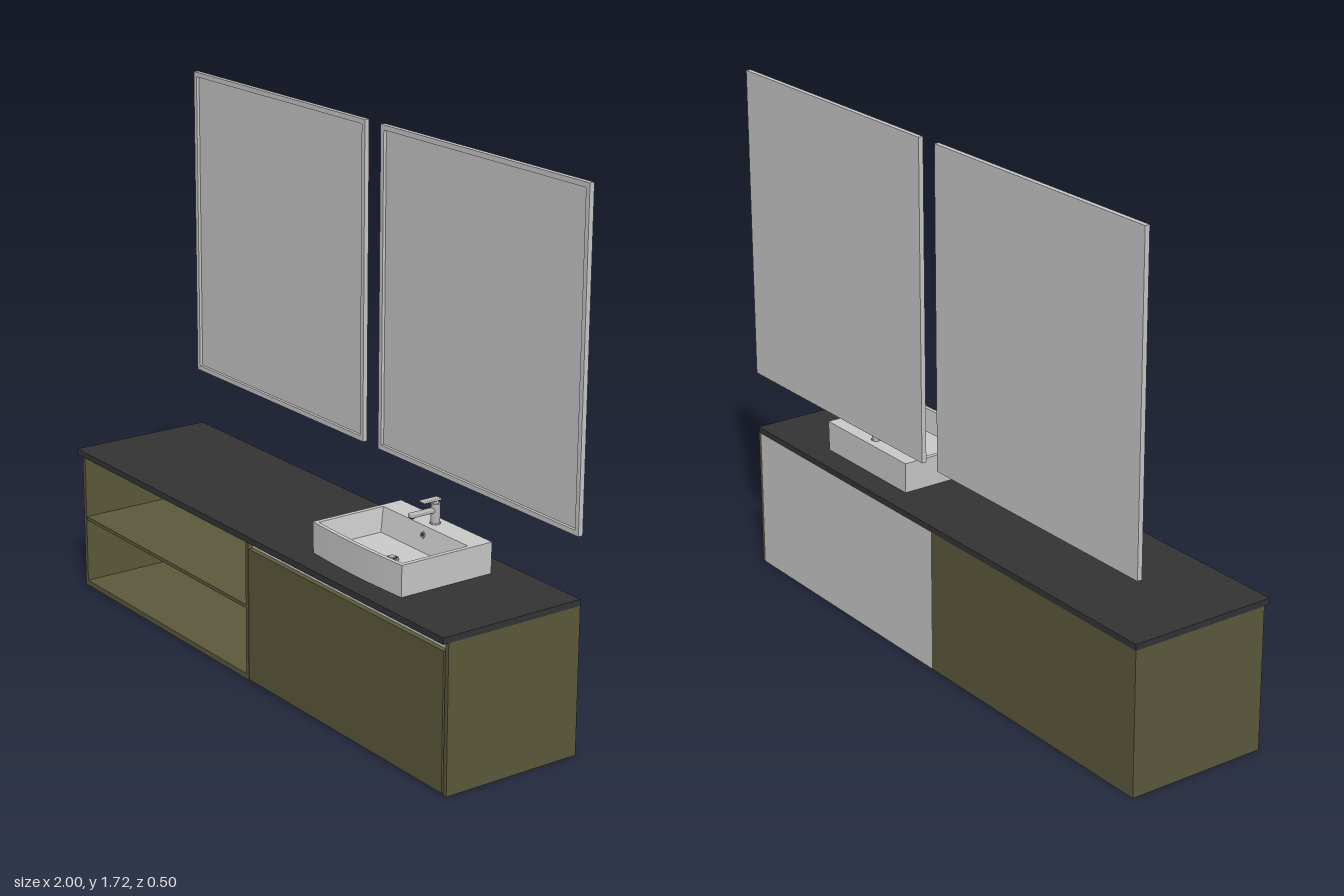
import * as THREE from 'three';
import { RoundedBoxGeometry } from 'three/addons/geometries/RoundedBoxGeometry.js';

const mat = (name, color, side = THREE.FrontSide) => {
  const m = new THREE.MeshStandardMaterial({ color, side });
  m.name = name;
  return m;
};

export function createModel() {
  const olive = mat('olive lacquer', 0x5c593c);
  const stone = mat('dark stone', 0x343434);
  const pale = mat('pale grey', 0xc8c8c8);
  const ceramic = mat('ceramic', 0xcacaca, THREE.DoubleSide);
  const chrome = mat('chrome', 0xb8b8b8);
  const dark = mat('dark opening', 0x404040);

  const root = new THREE.Group();
  root.name = 'vanityUnit';
  const group = (name) => {
    const g = new THREE.Group();
    g.name = name;
    root.add(g);
    return g;
  };
  const add = (parent, name, geometry, material, x = 0, y = 0, z = 0) => {
    const m = new THREE.Mesh(geometry, material);
    m.name = name;
    m.position.set(x, y, z);
    parent.add(m);
    return m;
  };
  // Box given by its limits on each axis
  const box = (parent, name, material, [x0, x1], [y0, y1], [z0, z1]) =>
    add(parent, name, new THREE.BoxGeometry(x1 - x0, y1 - y0, z1 - z0), material,
      (x0 + x1) / 2, (y0 + y1) / 2, (z0 + z1) / 2);

  // Countertop
  box(root, 'countertop', stone, [-1, 1], [0.472, 0.492], [-0.25, 0.25]);

  // Open shelf unit
  const shelves = group('openShelfUnit');
  box(shelves, 'outerSide', olive, [-1, -0.985], [0, 0.472], [-0.25, 0.23]);
  box(shelves, 'innerSide', olive, [-0.017, -0.003], [0, 0.472], [-0.25, 0.23]);
  box(shelves, 'shelfBack', olive, [-0.985, -0.017], [0, 0.472], [-0.25, -0.238]);
  box(shelves, 'bottomPanel', olive, [-0.985, -0.017], [0, 0.018], [-0.238, 0.23]);
  box(shelves, 'middleShelf', olive, [-0.985, -0.017], [0.237, 0.249], [-0.238, 0.228]);

  // Drawer unit: pale carcass, olive front and end panel
  const drawer = group('drawerUnit');
  box(drawer, 'carcass', pale, [-0.003, 0.985], [0, 0.472], [-0.25, 0.212]);
  box(drawer, 'drawerFront', olive, [0, 0.977], [0.003, 0.44], [0.213, 0.23]);
  box(drawer, 'endPanel', olive, [0.985, 1], [0, 0.472], [-0.25, 0.23]);

  // Two framed mirrors
  const w = 0.96, h = 1.033, t = 0.016;
  const rect = (Type, a, b) => new Type([
    new THREE.Vector2(-a, -b), new THREE.Vector2(a, -b),
    new THREE.Vector2(a, b), new THREE.Vector2(-a, b)]);
  const frameShape = rect(THREE.Shape, w / 2, h / 2);
  frameShape.holes.push(rect(THREE.Path, w / 2 - t, h / 2 - t));
  const frameGeo = new THREE.ExtrudeGeometry(frameShape, { depth: 0.016, bevelEnabled: false });
  for (const s of [-1, 1]) {
    const mirror = group(s < 0 ? 'rightMirror' : 'leftMirror');
    mirror.position.set(s * 0.52, 0.687 + h / 2, -0.25);
    add(mirror, 'mirrorFrame', frameGeo, pale);
    add(mirror, 'mirrorPane', new THREE.BoxGeometry(w - 2 * t, h - 2 * t, 0.006), pale, 0, 0, 0.003);
  }

  // Basin: rings lofted from the foot, over the rim and down to the drain
  const basin = group('basin');
  const cx = 0.473, front = 10;
  const ring = (hw, z0, z1, y, bow = 0) => {
    const pts = [];
    for (let i = 0; i <= front; i++) {
      const u = i / front;
      pts.push([cx + hw * (2 * u - 1), y, z1 + bow * Math.sin(Math.PI * u)]);
    }
    pts.push([cx + hw, y, z0], [cx - hw, y, z0]);
    return pts;
  };
  const rings = [
    ring(0.22, -0.167, 0.164, 0.492, 0.008),
    ring(0.222, -0.167, 0.165, 0.592, 0.008),
    ring(0.207, -0.088, 0.153, 0.592, 0.006),
    ring(0.192, -0.068, 0.143, 0.517, 0.005),
    ring(0.012, 0.021, 0.045, 0.511),
  ];
  const pos = [];
  for (let r = 0; r + 1 < rings.length; r++) {
    const a = rings[r], b = rings[r + 1], n = a.length;
    for (let i = 0; i < n; i++) {
      const j = (i + 1) % n;
      pos.push(...a[i], ...a[j], ...b[j], ...a[i], ...b[j], ...b[i]);
    }
  }
  const bowl = new THREE.BufferGeometry();
  bowl.setAttribute('position', new THREE.Float32BufferAttribute(pos, 3));
  bowl.computeVertexNormals();
  add(basin, 'basinBody', bowl, ceramic);

  // Drain and overflow
  const disc = (r, d) => new THREE.CylinderGeometry(r, r, d, 24);
  add(basin, 'drainFlange', disc(0.021, 0.006), chrome, cx, 0.514, 0.033);
  add(basin, 'drainGap', disc(0.016, 0.002), dark, cx, 0.5175, 0.033);
  add(basin, 'drainCap', disc(0.011, 0.006), chrome, cx, 0.519, 0.033);
  const tilt = Math.atan2(0.075, 0.02);
  add(basin, 'overflowRing', disc(0.011, 0.004), chrome, cx, 0.565, -0.08).rotation.x = tilt;
  add(basin, 'overflowHole', disc(0.007, 0.005), dark, cx, 0.5652, -0.0795).rotation.x = tilt;

  // Tap: column, spout and flat lever
  const tap = group('tap');
  add(tap, 'tapFoot', disc(0.017, 0.004), chrome, cx, 0.594, -0.128);
  add(tap, 'tapColumn', disc(0.0145, 0.064), chrome, cx, 0.624, -0.128);
  add(tap, 'tapSpout', new RoundedBoxGeometry(0.02, 0.014, 0.095, 2, 0.004), chrome, cx, 0.635, -0.077);
  add(tap, 'spoutNozzle', disc(0.007, 0.004), dark, cx, 0.627, -0.041);
  add(tap, 'leverNeck', disc(0.01, 0.01), chrome, cx, 0.66, -0.128);
  add(tap, 'tapLever', new RoundedBoxGeometry(0.026, 0.007, 0.066, 2, 0.003), chrome, cx, 0.669, -0.109);

  return root;
}
